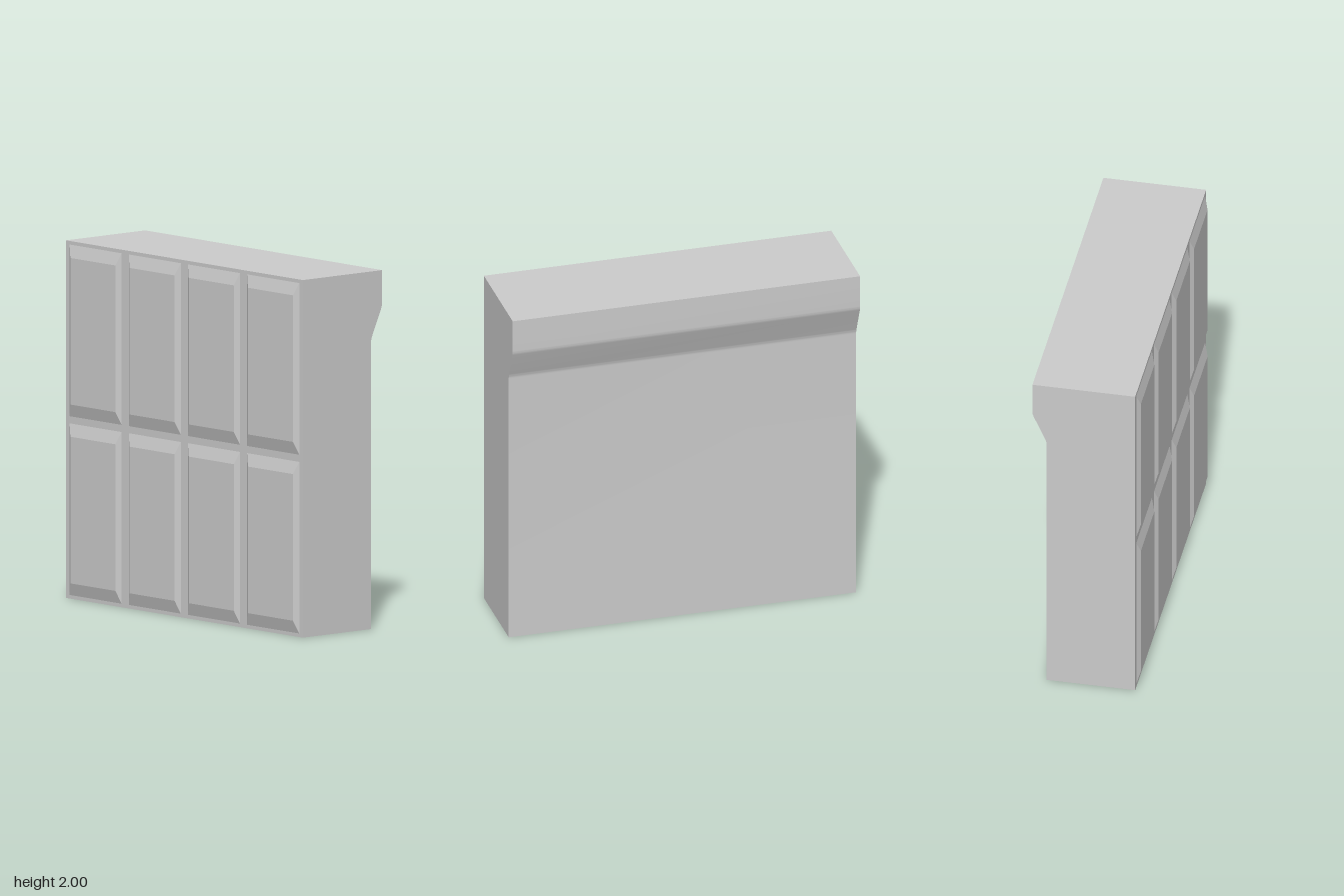
import * as THREE from 'three';
import { toCreasedNormals } from 'three/addons/utils/BufferGeometryUtils.js';

const material = new THREE.MeshStandardMaterial({ color: 0xcccccc });

// Wall: side profile with an overhanging ledge at the top, run along z
function wallGeometry() {
  const s = new THREE.Shape();
  s.moveTo(-0.28, 0);
  s.lineTo(0.22, 0);
  s.lineTo(0.22, 1.605);
  s.quadraticCurveTo(0.22, 1.62, 0.227, 1.636); // softened foot of the ledge
  s.lineTo(0.294, 1.786);
  s.quadraticCurveTo(0.3, 1.8, 0.3, 1.815); // softened lip of the ledge
  s.lineTo(0.3, 2);
  s.lineTo(-0.28, 2);
  s.closePath();
  const g = new THREE.ExtrudeGeometry(s, { depth: 2, bevelEnabled: false, curveSegments: 4 });
  g.translate(0, 0, -1);
  return toCreasedNormals(g, 0.2);
}

// Raised panel: a thin box whose outer face (-x) is drawn in to make sloping borders
function panelGeometry() {
  const g = new THREE.BoxGeometry(0.02, 0.96, 0.44);
  const p = g.attributes.position;
  for (let i = 0; i < p.count; i++) {
    if (p.getX(i) < 0) {
      p.setY(i, Math.sign(p.getY(i)) * 0.41);
      p.setZ(i, Math.sign(p.getZ(i)) * 0.19);
    }
  }
  // Drop the +x face, which lies against the wall
  g.setIndex(Array.from(g.index.array).slice(6));
  g.clearGroups();
  g.computeVertexNormals();
  return g;
}

export function createModel() {
  const model = new THREE.Group();
  model.name = 'wallBlock';

  const wall = new THREE.Mesh(wallGeometry(), material);
  wall.name = 'wall';
  model.add(wall);

  // Two rows of four panels on the -x side
  const panels = new THREE.Group();
  panels.name = 'panels';
  const geometry = panelGeometry();
  for (let row = 0; row < 2; row++) {
    for (let col = 0; col < 4; col++) {
      const panel = new THREE.Mesh(geometry, material);
      panel.name = 'panel';
      panel.position.set(-0.29, 0.5 + row, -0.75 + col * 0.5);
      panels.add(panel);
    }
  }
  model.add(panels);
  return model;
}
